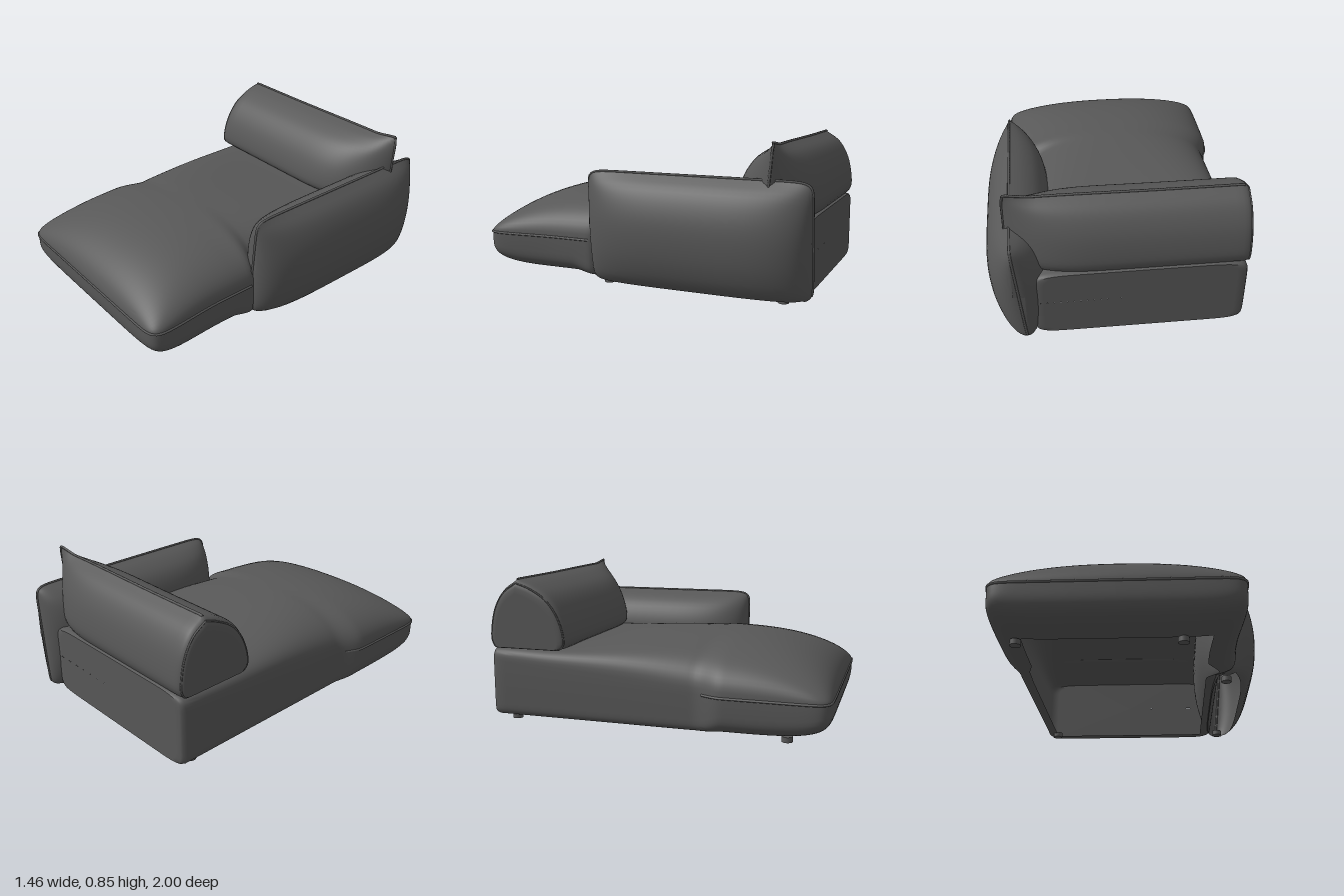
import * as THREE from 'three';
import { toCreasedNormals } from 'three/addons/utils/BufferGeometryUtils.js';

const lerp = THREE.MathUtils.lerp;
const smooth = THREE.MathUtils.smoothstep;
// Height of a unit superellipse at u
const bulge = (u, n, m = 1 / n) => Math.pow(Math.max(0, 1 - Math.pow(Math.abs(u), n)), m);
const spow = (v, e) => Math.sign(v) * Math.pow(Math.abs(v), e);

// Skin over a row of equal-length rings; skip(i, j) leaves a quad open
function loft(rings, skip = () => false) {
  const n = rings[0].length;
  const index = [];
  for (let i = 0; i < rings.length - 1; i++) {
    for (let j = 0; j < n - 1; j++) {
      if (skip(i, j)) continue;
      const a = i * n + j, d = a + n;
      index.push(a, a + 1, d + 1, a, d + 1, d);
    }
  }
  const g = new THREE.BufferGeometry();
  g.setAttribute('position', new THREE.Float32BufferAttribute(rings.flat(2), 3));
  g.setIndex(index);
  return toCreasedNormals(g, 0.8);
}

// Open spline through 2D points, sampled evenly
function profile(points, count) {
  const curve = new THREE.CatmullRomCurve3(points.map(([a, b]) => new THREE.Vector3(a, b, 0)));
  return curve.getSpacedPoints(count).map((p) => [p.x, p.y]);
}

export function createModel() {
  const model = new THREE.Group();
  const fabric = new THREE.MeshStandardMaterial({ color: 0x585858, side: THREE.DoubleSide });
  fabric.name = 'charcoal fabric';

  function add(name, geometry) {
    const mesh = new THREE.Mesh(geometry, fabric);
    mesh.name = name;
    model.add(mesh);
    return mesh;
  }
  function piping(name, points, radius = 0.007) {
    const curve = new THREE.CatmullRomCurve3(points.map((p) => new THREE.Vector3(...p)), false, 'centripetal');
    add(name, new THREE.TubeGeometry(curve, 140, radius, 6));
  }

  // Seat: block at the back swelling into a pillow at the front
  const seamY = 0.24, frontZ = 0.988;
  const reach = (z) => Math.max(0, (z - 0.3) / (frontZ - 0.3));
  const seatSides = (z) => {
    const k = bulge(reach(z), 18);
    const left = lerp(-0.668, -0.724, smooth(z, 0.24, 0.42));
    const right = lerp(0.48, lerp(0.568, 0.597, smooth(z, 0.5, 0.98)), smooth(z, 0.2, 0.3));
    return [(left + right) / 2, (right - left) / 2 * k];
  };
  const seatRing = (z, scale = 1) => {
    const [mid, half] = seatSides(z);
    const u = reach(z);
    const top = lerp(0.435, 0.508, smooth(z, -0.7, 0.3)) - seamY;
    const crown = lerp(9, 2.3, Math.sqrt(smooth(z, -0.95, 0.4)));
    const base = lerp(12, 6, smooth(z, 0.24, 0.42));
    const ring = [];
    for (let j = 0; j <= 72; j++) {
      const a = (j / 72) * Math.PI * 2;
      const c = Math.cos(a), s = Math.sin(a);
      const n = s >= 0 ? crown : base;
      const h = s >= 0 ? top * bulge(u, 2.3, 0.5) : 0.222 * bulge(u, 4.5);
      ring.push([mid + half * scale * spow(c, 2 / n), seamY + h * scale * spow(s, 2 / n), z]);
    }
    return ring;
  };
  const seatZ = [];
  for (let i = 0; i <= 20; i++) seatZ.push(lerp(-0.925, 0.2, i / 20));
  for (let i = 1; i <= 12; i++) seatZ.push(lerp(0.2, 0.45, i / 12));
  for (let i = 1; i <= 28; i++) seatZ.push(0.45 + (frontZ - 0.45) * (1 - Math.pow(1 - i / 28, 3)));
  const seatRings = [seatRing(-0.952, 0), seatRing(-0.952, 0.9), seatRing(-0.952, 0.965), seatRing(-0.945, 0.985)]
    .concat(seatZ.map((z) => seatRing(z)));
  // The underside is open inside a narrow rim
  const seatOpen = (i, j) => {
    const z = seatRings[i][0][2];
    const a = ((j + 0.5) / 72) * Math.PI * 2;
    return z > -0.9 && z < 0.74 && Math.sin(a) < 0 && Math.abs(Math.cos(a)) < 0.46;
  };
  add('seatCushion', loft(seatRings, seatOpen));

  // Piping round the front of the seat
  const edge = (side) => seatZ.filter((z) => z >= 0.3 && z < frontZ)
    .map((z) => { const [mid, half] = seatSides(z); return [mid + side * half, seamY, z]; });
  piping('seatPiping', [...edge(-1), ...edge(1).reverse()]);

  // Arm: pillow standing on edge, its section closing onto the seam at both ends
  const armSeam = (y) => lerp(0.52, 0.582, (y - 0.02) / 0.63);
  const armProfile = profile([[0.582, 0.65], [0.5, 0.62], [0.42, 0.56], [0.37, 0.46], [0.36, 0.33],
    [0.38, 0.16], [0.43, 0.04], [0.47, 0.02], [0.6, 0.02], [0.66, 0.055], [0.71, 0.17], [0.728, 0.33],
    [0.71, 0.46], [0.66, 0.575], [0.582, 0.65]], 56);
  const armRings = [];
  for (let i = 0; i <= 56; i++) {
    const t = i / 28 - 1;
    const u = Math.sign(t) * (1 - Math.pow(1 - Math.abs(t), 3));
    const w = bulge(u, 4, 0.5), k = bulge(u, 16);
    const lift = 0.008 * Math.pow(u, 6);
    armRings.push(armProfile.map(([x, y]) => {
      const seam = armSeam(y);
      return [seam + (x - seam) * w, 0.335 + (y - 0.335) * k + lift * y, -0.355 + 0.64 * u];
    }));
  }
  // A slot is left open along the underside
  const armOpen = (i, j) => i > 10 && i < 45 && armProfile[j][1] < 0.03 && armProfile[j + 1][1] < 0.03;
  add('armCushion', loft(armRings, armOpen));

  const armEdge = [];
  for (let i = 0; i <= 60; i++) {
    const a = lerp(-0.4, Math.PI + 0.4, i / 60);
    const y = 0.335 + 0.316 * spow(Math.sin(a), 1 / 8);
    armEdge.push([armSeam(y), y, -0.355 + 0.64 * spow(Math.cos(a), 1 / 8)]);
  }
  piping('armPiping', armEdge);

  // Backrest: wedge, cut straight at one end and pinched to a seam at the other
  const backSeam = (y) => lerp(-0.755, -0.79, (y - 0.43) / 0.39);
  const backProfile = [
    ...profile([[0.82, -0.785], [0.79, -0.7], [0.73, -0.6], [0.64, -0.53], [0.53, -0.49], [0.46, -0.487], [0.435, -0.51]], 24),
    ...profile([[0.43, -0.53], [0.43, -0.92]], 6),
    ...profile([[0.435, -0.94], [0.47, -0.957], [0.56, -0.953], [0.67, -0.925], [0.76, -0.87], [0.82, -0.785]], 20),
  ];
  const backRing = (x, scale = 1) => {
    const w = bulge(Math.max(0, x / 0.61), 3.6, 0.85) * scale;
    const lift = 1 + 0.045 * smooth(x, 0.45, 0.61) + 0.015 * smooth(x, -0.3, 0.4);
    return backProfile.map(([y, z]) => {
      const seam = backSeam(y);
      return [x, 0.43 + (y - 0.43) * scale * lift, seam + (z - seam) * w];
    });
  };
  const backRings = [backRing(-0.672, 0), backRing(-0.672, 0.8), backRing(-0.672, 0.88), backRing(-0.666, 0.93),
    backRing(-0.655, 0.97), backRing(-0.64, 0.992), backRing(-0.62)];
  for (let i = 1; i <= 16; i++) backRings.push(backRing(lerp(-0.62, 0, i / 16)));
  for (let i = 1; i <= 24; i++) backRings.push(backRing(0.61 * (1 - Math.pow(1 - i / 24, 1.8))));
  add('backCushion', loft(backRings));

  // Piping along the ridge, down the pinched end and round the cut end
  const ridge = backRings.slice(5, -1).map((ring) => ring[0]);
  const pinch = [0.8, 0.7, 0.6, 0.5].map((y) => [0.608, y, backSeam(y)]);
  piping('backPiping', [...ridge, [0.603, 0.84, -0.792], ...pinch]);
  piping('backEndPiping', backRing(-0.662, 0.945), 0.005);

  // Low feet
  const foot = new THREE.CylinderGeometry(0.03, 0.03, 0.03, 16);
  for (const [x, z] of [[-0.59, 0.75], [0.27, 0.75], [-0.59, -0.84], [0.52, 0.19], [0.52, -0.84]]) {
    add('foot', foot).position.set(x, 0.015, z);
  }
  return model;
}
